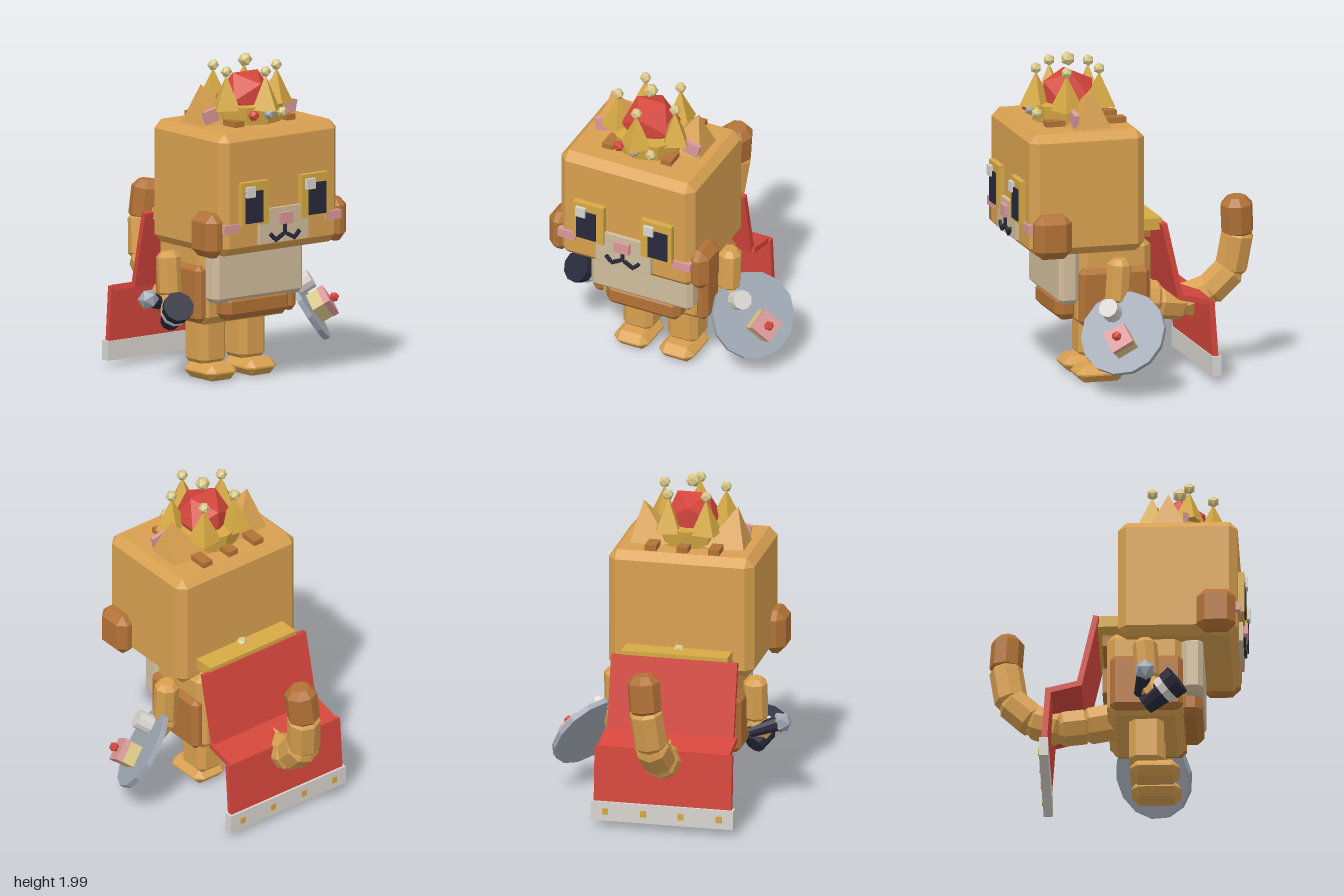
import * as THREE from 'three';
import { ConvexGeometry } from 'three/addons/geometries/ConvexGeometry.js';

const mat = (name, color) => {
  const m = new THREE.MeshStandardMaterial({ color });
  m.name = name;
  return m;
};
const orange = mat('orange fur', 0xd8a050);
const brown = mat('dark orange fur', 0xb27236);
const gold = mat('gold', 0xd6a943);
const red = mat('red', 0xd4463c);
const cream = mat('cream', 0xd0bd9c);
const pink = mat('pink', 0xdb9899);
const navy = mat('navy', 0x28293b);
const white = mat('white', 0xd8d4ce);
const grey = mat('grey', 0xa0a8b4);
const pearl = mat('pearl', 0xd8c786);

const V = (x, y, z) => new THREE.Vector3(x, y, z);
const UP = V(0, 1, 0);
const CX = -0.08; // middle of the character

export function createModel() {
  const root = new THREE.Group();
  root.name = 'crownedCat';

  // Adds a faceted mesh
  function add(name, geo, material, pos, parent = root) {
    const g = geo.index ? geo.toNonIndexed() : geo;
    g.computeVertexNormals();
    const m = new THREE.Mesh(g, material);
    m.name = name;
    m.position.copy(pos);
    parent.add(m);
    return m;
  }
  // Box given by its limits on each axis
  function box(name, material, x0, x1, y0, y1, z0, z1) {
    return add(name, new THREE.BoxGeometry(x1 - x0, y1 - y0, z1 - z0), material,
      V((x0 + x1) / 2, (y0 + y1) / 2, (z0 + z1) / 2));
  }
  // Box with cut-off edges and corners
  function chamfer(name, material, x0, x1, y0, y1, z0, z1, c) {
    const a = (x1 - x0) / 2, b = (y1 - y0) / 2, d = (z1 - z0) / 2, pts = [];
    for (const i of [-1, 1]) for (const j of [-1, 1]) for (const k of [-1, 1]) {
      pts.push(V(i * a, j * (b - c), k * (d - c)), V(i * (a - c), j * b, k * (d - c)),
        V(i * (a - c), j * (b - c), k * d));
    }
    return add(name, new ConvexGeometry(pts), material, V((x0 + x1) / 2, (y0 + y1) / 2, (z0 + z1) / 2));
  }
  // Faceted barrel running from a to b
  function limb(name, material, a, b, r, sides = 8) {
    const h = a.distanceTo(b) / 2, c = Math.min(r * 0.45, h * 0.5);
    const profile = [[0, -h], [r * 0.6, -h], [r, -h + c], [r, h - c], [r * 0.6, h], [0, h]];
    const m = add(name, new THREE.LatheGeometry(profile.map(p => new THREE.Vector2(...p)), sides),
      material, a.clone().lerp(b, 0.5));
    m.quaternion.setFromUnitVectors(UP, b.clone().sub(a).normalize());
    return m;
  }
  // Straight cylinder running from a to b
  function rod(name, material, a, b, r0, r1, sides = 10) {
    const m = add(name, new THREE.CylinderGeometry(r1, r0, a.distanceTo(b), sides), material, a.clone().lerp(b, 0.5));
    m.quaternion.setFromUnitVectors(UP, b.clone().sub(a).normalize());
    return m;
  }
  const ball = (name, material, pos, r) => add(name, new THREE.IcosahedronGeometry(r, 0), material, pos);

  // Head and torso
  chamfer('head', orange, -0.53, 0.37, 0.84, 1.59, 0, 0.72, 0.05);
  chamfer('torso', orange, -0.43, 0.27, 0.36, 0.9, -0.07, 0.39, 0.05);
  chamfer('bib', cream, -0.42, 0.26, 0.51, 0.86, 0.38, 0.51, 0.03);
  chamfer('bellyPatch', brown, -0.33, 0.17, 0.395, 0.55, 0.36, 0.5, 0.04);
  for (const [y0, y1] of [[0.87, 0.94], [0.56, 0.72]]) {
    box('backStripe', brown, CX - 0.2, CX + 0.2, y0, y1, -0.1, -0.03);
  }

  // Parts that come in mirrored pairs
  for (const s of [-1, 1]) {
    const X = d => CX + s * d;
    const span = (a, b) => s > 0 ? [X(a), X(b)] : [X(b), X(a)];
    const side = s > 0 ? 'left' : 'right';

    chamfer(side + 'Leg', orange, ...span(0.05, 0.25), 0.08, 0.4, 0.06, 0.27, 0.04);
    chamfer(side + 'Foot', orange, ...span(0.035, 0.265), 0, 0.1, 0.065, 0.365, 0.045);
    chamfer(side + 'HipPatch', brown, ...span(0.3, 0.385), 0.38, 0.73, -0.05, 0.39, 0.03);
    chamfer(side + 'CheekTuft', brown, ...span(0.4, 0.535), 0.835, 1.105, 0.475, 0.71, 0.05);
    limb(side + 'Arm', orange, V(X(0.43), 0.8, 0.16), V(X(0.43), 0.52, 0.18), 0.075);
    limb(side + 'Hand', orange, V(X(0.42), 0.55, 0.16), V(X(0.46), 0.4, 0.24), 0.07);

    // Ear with its pink inside
    const ear = new THREE.Group();
    ear.name = side + 'Ear';
    ear.position.set(X(0.235), 1.58, 0.3);
    ear.rotation.z = -s * 0.22;
    root.add(ear);
    add('earCone', new THREE.ConeGeometry(0.185, 0.26, 4).rotateY(Math.PI / 4), orange, V(0, 0.125, 0), ear);
    add('innerEar', new THREE.BoxGeometry(0.1, 0.08, 0.03), pink, V(s * 0.045, 0.08, 0.105), ear);

    // Eye and blush
    box(side + 'EyeRim', gold, ...span(0.125, 0.33), 1.025, 1.29, 0.7, 0.757);
    box(side + 'Pupil', navy, ...span(0.175, 0.305), 1.04, 1.235, 0.75, 0.765);
    const gx = s > 0 ? 0.07 : -0.385;
    box(side + 'EyeGlint', white, gx, gx + 0.065, 1.2, 1.265, 0.75, 0.778);
    box(side + 'Blush', pink, ...span(0.325, 0.445), 0.985, 1.04, 0.69, 0.735);

    // Curl of the mouth
    for (const [d, y, len, tilt] of [[0.045, 0.93, 0.075, -0.5], [0.095, 0.94, 0.045, 0.8]]) {
      add('mouthCurl', new THREE.BoxGeometry(len, 0.022, 0.02), navy, V(X(d), y, 0.75)).rotation.z = s * tilt;
    }
  }
  box('muzzle', cream, -0.265, 0.105, 0.9, 1.11, 0.7, 0.745);
  box('nose', pink, -0.13, -0.03, 1.01, 1.08, 0.74, 0.77);
  box('mouthStem', navy, -0.09, -0.07, 0.945, 1.01, 0.74, 0.76);

  // Fur stripes on top of the head
  for (const dx of [-0.195, 0, 0.195]) for (const z of [0.06, 0.44]) {
    box('headStripe', brown, CX + dx - 0.035, CX + dx + 0.035, 1.58, 1.625, z, z + 0.12);
  }

  // Crown: band, cushion, five points and gems
  const CZ = 0.36;
  rod('crownBand', gold, V(CX, 1.58, CZ), V(CX, 1.7, CZ), 0.22, 0.24);
  ball('crownCushion', red, V(CX, 1.73, CZ), 0.18);
  ball('crownTopPearl', pearl, V(CX, 1.955, CZ), 0.045);
  for (let i = 0; i < 5; i++) {
    const a = i * Math.PI * 2 / 5;
    const x = CX + Math.sin(a) * 0.2, z = CZ + Math.cos(a) * 0.2;
    add('crownPoint', new THREE.ConeGeometry(0.105, 0.21, 4), gold, V(x, 1.785, z)).rotation.y = a;
    ball('crownPearl', pearl, V(x, 1.91, z), 0.036);
  }
  ball('redGem', red, V(CX - 0.108, 1.655, 0.585), 0.035);
  ball('greyGem', grey, V(CX, 1.655, 0.595), 0.035);
  ball('pearlGem', pearl, V(CX + 0.108, 1.655, 0.585), 0.035);

  // Cape: three hinged panels, collar and trim
  const fold = [[0.975, -0.135], [0.53, -0.235], [0.485, -0.42], [0.14, -0.445]];
  const widths = [0.78, 0.815, 0.85];
  for (let i = 0; i < 3; i++) {
    const [y0, z0] = fold[i], [y1, z1] = fold[i + 1];
    const panel = add('capePanel', new THREE.BoxGeometry(widths[i], Math.hypot(y1 - y0, z1 - z0) + 0.02, 0.035),
      red, V(CX, (y0 + y1) / 2, (z0 + z1) / 2));
    panel.rotation.x = Math.atan2(z0 - z1, y0 - y1);
  }
  box('capeCollar', gold, -0.405, 0.25, 0.94, 1.01, -0.135, 0.01);
  ball('collarPearl', pearl, V(CX, 1, -0.02), 0.04);
  box('capeTrim', white, -0.52, 0.36, 0.04, 0.16, -0.475, -0.42);
  for (const x of [-0.43, -0.197, 0.037, 0.27]) {
    box('trimStud', gold, x - 0.018, x + 0.018, 0.08, 0.12, -0.482, -0.47);
  }

  // Curling tail
  const path = [[-0.08, 0.46, -0.03], [-0.08, 0.43, -0.2], [-0.09, 0.41, -0.36], [-0.075, 0.465, -0.52],
    [-0.055, 0.6, -0.655], [-0.03, 0.83, -0.69], [-0.01, 1.055, -0.675]].map(p => V(...p));
  for (let i = 0; i < 6; i++) {
    const tip = i === 5;
    const over = path[i + 1].clone().sub(path[i]).normalize().multiplyScalar(0.035);
    limb(tip ? 'tailTip' : 'tailSegment', tip ? brown : orange, path[i].clone().sub(over),
      tip ? path[6] : path[i + 1].clone().add(over), tip ? 0.1 : 0.118 - i * 0.004);
  }

  // Microphone and torch in the right hand
  const mic = V(-0.67, 0.525, 0.17);
  ball('microphoneHead', grey, mic, 0.065);
  rod('microphoneHandle', navy, mic, V(-0.48, 0.46, 0.13), 0.05, 0.035);
  const torch = t => V(-0.585, 0.5, 0.36).addScaledVector(V(0.32, -0.5, -0.75).normalize(), t);
  rod('torchHead', navy, torch(0.07), torch(0), 0.09, 0.095);
  rod('torchRing', white, torch(0.12), torch(0.07), 0.085, 0.085);
  rod('torchGrip', navy, torch(0.25), torch(0.12), 0.06, 0.075);

  // Tilted plate with cup and cake at the left hand
  const plate = new THREE.Group();
  plate.name = 'plate';
  plate.position.set(0.515, 0.375, 0.185);
  plate.quaternion.setFromUnitVectors(UP, V(0.67, 0.52, 0.52).normalize());
  root.add(plate);
  const inv = plate.quaternion.clone().invert();
  const on = (x, y, z, h) => V(x, y, z).applyQuaternion(inv).setY(h);
  add('dish', new THREE.CylinderGeometry(0.265, 0.265, 0.035, 14), grey, V(0, 0, 0), plate);
  add('cup', new THREE.CylinderGeometry(0.06, 0.06, 0.11, 10), white, on(-0.1, 0.1, 0.03, 0.06), plate);
  const cake = [0.045, -0.06, 0.005];
  add('cakeBase', new THREE.BoxGeometry(0.135, 0.08, 0.135), pearl, on(...cake, 0.055), plate);
  add('cakeIcing', new THREE.BoxGeometry(0.14, 0.04, 0.14), pink, on(...cake, 0.115), plate);
  add('cherry', new THREE.IcosahedronGeometry(0.032, 0), red, on(...cake, 0.16), plate);

  return root;
}
